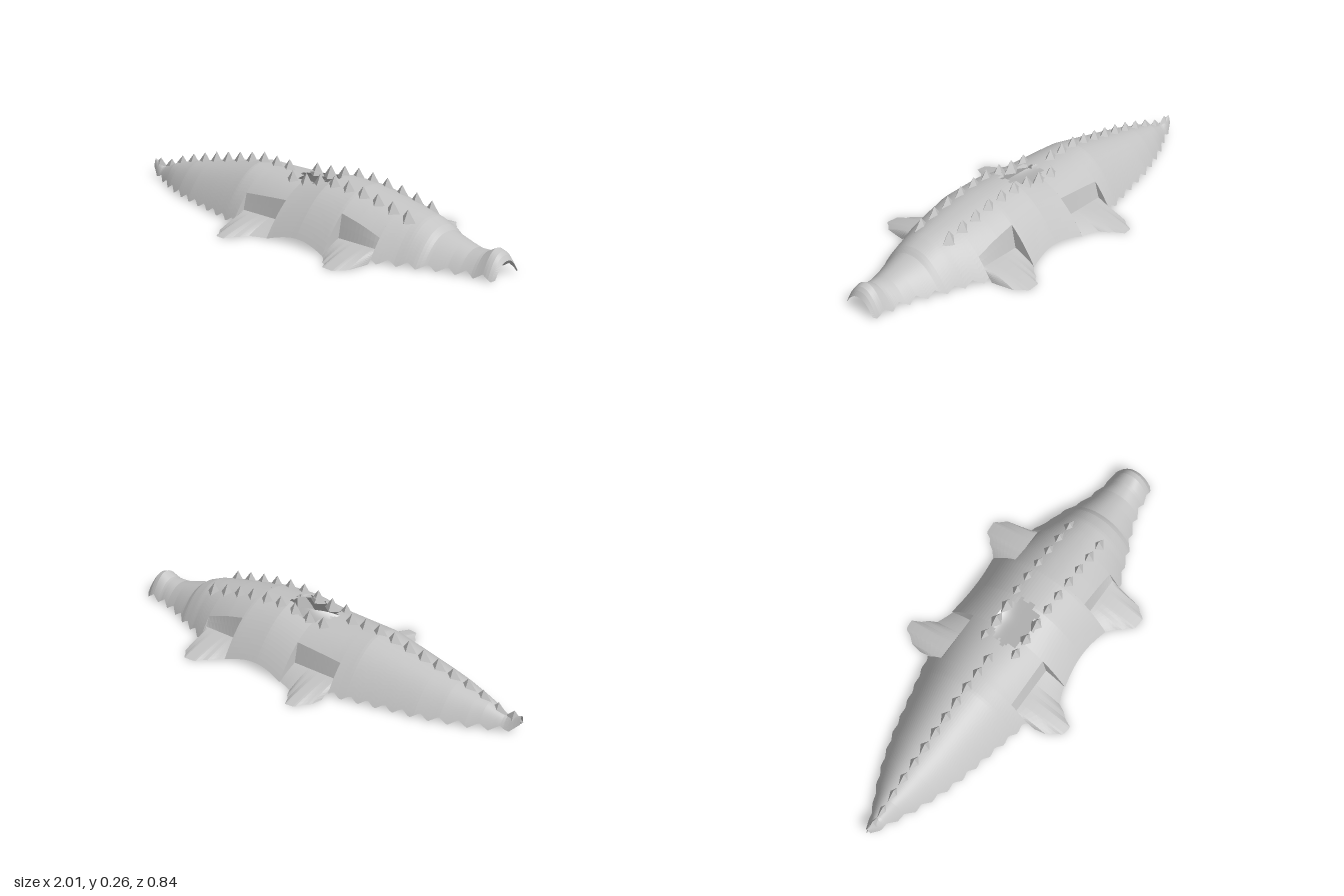
import * as THREE from 'three';

const grey = new THREE.MeshStandardMaterial({ color: 0xc4c4c4, flatShading: true, side: THREE.DoubleSide });
grey.name = 'greyHide';

// Linear interpolation through [x, value] pairs
const curve = (pts) => (x) => {
  for (let i = 1; i < pts.length; i++) {
    const [a, va] = pts[i - 1], [b, vb] = pts[i];
    if (x <= b) return va + (vb - va) * Math.max(0, (x - a) / (b - a));
  }
  return pts[pts.length - 1][1];
};

// Height of the back and half width at the ground, from tail to snout
const height = curve([[-1, 0.06], [-0.93, 0.055], [-0.85, 0.09], [-0.7, 0.13], [-0.5, 0.17], [-0.3, 0.21],
  [-0.2, 0.207], [0, 0.205], [0.15, 0.232], [0.3, 0.225], [0.45, 0.2], [0.57, 0.178], [0.63, 0.165],
  [0.69, 0.14], [0.71, 0.122], [0.85, 0.085], [0.91, 0.088], [0.95, 0.11], [0.98, 0.1], [1, 0.068]]);
const halfWidth = curve([[-1, 0.015], [-0.9, 0.06], [-0.8, 0.11], [-0.7, 0.15], [-0.6, 0.182], [-0.4, 0.228],
  [-0.23, 0.268], [0, 0.3], [0.31, 0.3], [0.4, 0.28], [0.51, 0.245], [0.6, 0.205], [0.68, 0.178],
  [0.72, 0.157], [0.8, 0.125], [0.9, 0.1], [0.97, 0.095], [1, 0.078]]);
const tipLift = curve([[-1, 0.02], [-0.94, 0]]);
const hide = (x, z) =>
  tipLift(x) + height(x) * Math.max(0, 1 - Math.pow(Math.abs(z) / halfWidth(x), 2.2));

// Grid surface from a rule point(u, v), leaving out cells where skip is true
function surface(name, nu, nv, point, skip = () => false) {
  const pos = [], index = [];
  for (let i = 0; i <= nu; i++)
    for (let j = 0; j <= nv; j++) pos.push(...point(i / nu, j / nv));
  for (let i = 0; i < nu; i++)
    for (let j = 0; j < nv; j++) {
      const a = i * (nv + 1) + j, b = a + nv + 1;
      const [x, , z] = point((i + 0.5) / nu, (j + 0.5) / nv);
      if (!skip(x, z)) index.push(a, a + 1, b, b, a + 1, b + 1);
    }
  const g = new THREE.BufferGeometry();
  g.setAttribute('position', new THREE.Float32BufferAttribute(pos, 3));
  g.setIndex(index);
  g.computeVertexNormals();
  const mesh = new THREE.Mesh(g, grey);
  mesh.name = name;
  return mesh;
}

// Ragged opening in the middle of the back
function inHole(x, z) {
  const dx = (x - 0.05) / 0.105, dz = z / 0.085;
  return Math.hypot(dx, dz) < 1 + 0.12 * Math.sin(11 * Math.atan2(dz, dx));
}

const INNER = 0.18; // where the leg pockets cut into the body

// Lower edge of the hide: saw-toothed on tail and head, arched on the belly
const teeth = (x) => 0.024 * Math.abs((((x + 1) / 0.075) % 1) * 2 - 1);
const arch = (x) => 0.03 * Math.sin(Math.PI * x / 0.31);
const edgeFrom = (lower) => (x) =>
  halfWidth(x) * Math.pow(Math.max(0.05, 1 - lower(x) / height(x)), 1 / 2.2);

function bodySection(name, x0, x1, edge) {
  return surface(name, Math.round((x1 - x0) / 0.0125), 40, (u, v) => {
    const x = x0 + (x1 - x0) * u, z = (v * 2 - 1) * edge(x);
    return [x, hide(x, z), z];
  }, inHole);
}

// Leg with its sunken pocket: inner wall, two end walls and a sloping foot
function leg(name, x0, x1, reach, side) {
  const group = new THREE.Group();
  group.name = name;
  const root = 0.2;
  const at = (u) => x0 + (x1 - x0) * u;
  const footY = (x, z) => {
    const t = Math.min(1, Math.max(0, (z - root) / (reach(x) - root)));
    return 0.05 * (1 - t * (0.7 + 0.3 * t));
  };
  group.add(surface('pocketWall', 10, 2, (u, v) => {
    const x = at(u), top = hide(x, INNER);
    return [x, top + (0.05 - top) * v, side * (INNER + (root - INNER) * v)];
  }));
  for (const x of [x0, x1]) {
    group.add(surface('pocketEnd', 10, 2, (u, v) => {
      const z = INNER + (halfWidth(x) - INNER) * u;
      const top = hide(x, z), low = Math.min(top, footY(x, z));
      return [x, top + (low - top) * v, side * z];
    }));
  }
  group.add(surface('foot', 24, 8, (u, v) => {
    const x = at(u), z = root + (reach(x) - root) * v;
    return [x, footY(x, z), side * z];
  }));
  return group;
}

// Four-sided scale spike standing on the back
function spike(name, x, z, length, width, tall) {
  const g = new THREE.ConeGeometry(1, 1, 4, 1, true);
  g.translate(0, 0.5, 0);
  g.scale(length / 2, tall + 0.015, width / 2);
  const mesh = new THREE.Mesh(g, grey);
  mesh.name = name;
  mesh.position.set(x, hide(x, z) - 0.015, z);
  return mesh;
}

export function createModel() {
  const model = new THREE.Group();
  model.name = 'crocodile';

  // Body shell, in sections between the leg pockets
  const toothed = edgeFrom(teeth), inset = () => INNER;
  model.add(
    bodySection('tail', -1, -0.23, toothed),
    bodySection('hips', -0.23, 0, inset),
    bodySection('belly', 0, 0.31, edgeFrom(arch)),
    bodySection('shoulders', 0.31, 0.51, inset),
    bodySection('head', 0.51, 1, toothed));

  // Legs
  const rear = curve([[-0.23, 0.3], [-0.22, 0.355], [-0.195, 0.38], [-0.18, 0.415], [-0.135, 0.42],
    [-0.115, 0.38], [-0.09, 0.355], [-0.08, 0.325], [-0.03, 0.305], [0, 0.295]]);
  const front = curve([[0.31, 0.3], [0.34, 0.325], [0.36, 0.355], [0.38, 0.365], [0.395, 0.395],
    [0.455, 0.4], [0.47, 0.375], [0.495, 0.35], [0.51, 0.25]]);
  for (const [label, side] of [['left', 1], ['right', -1]].map(([n, s]) => [n, -s])) {
    model.add(leg(label + 'RearLeg', -0.23, 0, rear, side));
    model.add(leg(label + 'FrontLeg', 0.31, 0.51, front, side));
  }

  // Single row of spikes along the tail
  for (let i = 0; i < 12; i++) {
    const x = -0.965 + i * 0.0745;
    const s = Math.min(1, 0.6 + i * 0.08);
    model.add(spike('tailSpike', x, 0, 0.09, 0.06 * s, 0.042 * s));
  }

  // Paired rows along the back, ending at the brow
  for (let i = 0; i < 9; i++) {
    const x = -0.055 + i * 0.078;
    for (const side of [1, -1])
      model.add(spike(i === 8 ? 'brow' : 'backSpike', x, side * 0.077, 0.085, 0.055, 0.04));
  }
  return model;
}
